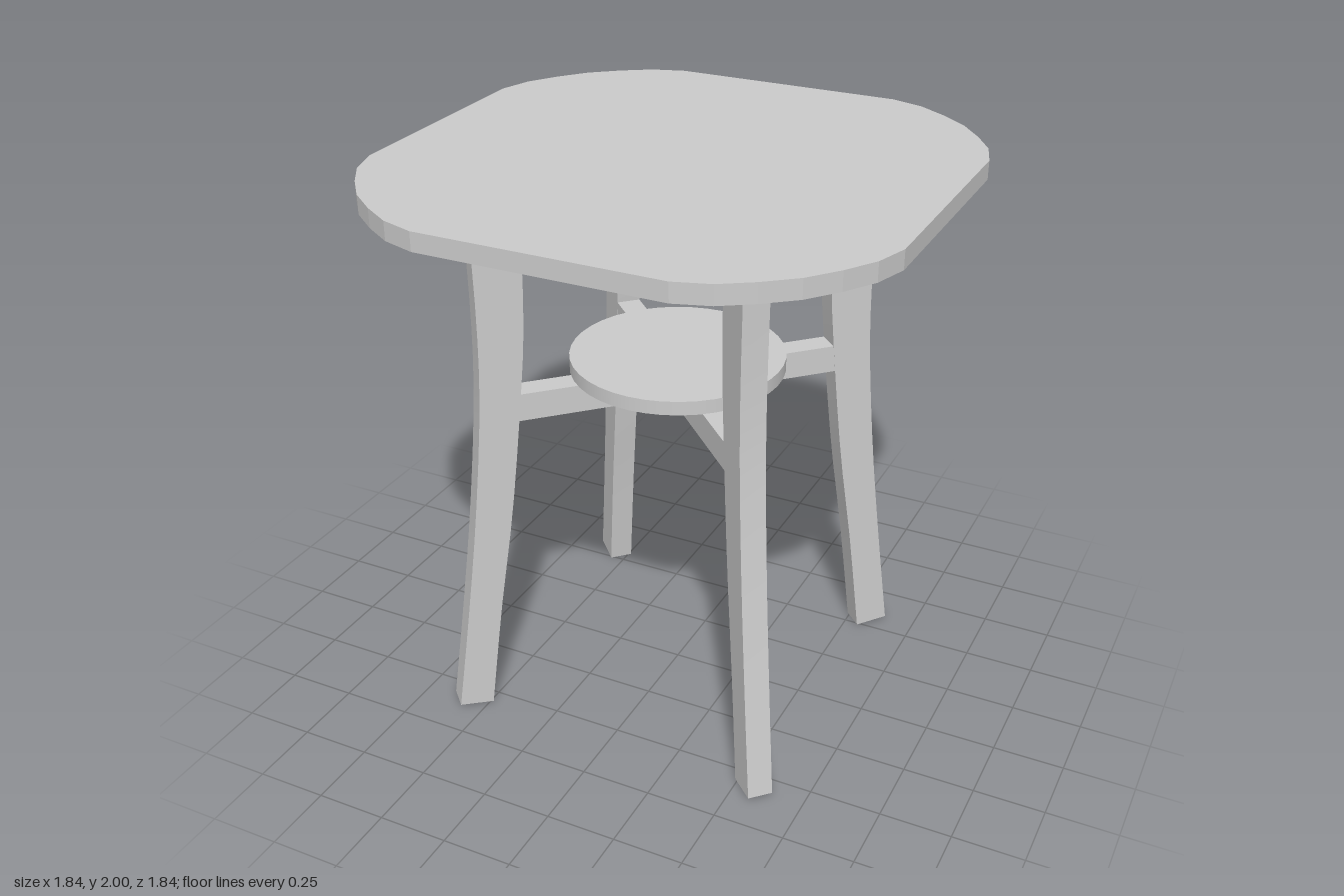
import * as THREE from 'three';
import { toCreasedNormals } from 'three/addons/utils/BufferGeometryUtils.js';

const material = new THREE.MeshStandardMaterial({ color: 0xcccccc });

// Extrudes an outline of [x, y] points, centred on its thickness.
function slab(points, thickness) {
  const shape = new THREE.Shape(points.map(([x, y]) => new THREE.Vector2(x, y)));
  const geometry = new THREE.ExtrudeGeometry(shape, { depth: thickness, bevelEnabled: false });
  return geometry.translate(0, 0, -thickness / 2);
}

function part(name, geometry, parent) {
  const mesh = new THREE.Mesh(geometry, material);
  mesh.name = name;
  parent.add(mesh);
  return mesh;
}

// Smooth curve through a few profile points.
function smooth(points, steps) {
  const curve = new THREE.SplineCurve(points.map(([x, y]) => new THREE.Vector2(x, y)));
  return curve.getPoints(steps).map((p) => [p.x, p.y]);
}

export function createModel() {
  const table = new THREE.Group();
  table.name = 'sideTable';

  // Table top: square with broad rounded corners
  const corner = [[0.92, 0.42], [0.883, 0.537], [0.817, 0.64], [0.738, 0.738],
    [0.64, 0.817], [0.537, 0.883], [0.42, 0.92]];
  const outline = [];
  for (let i = 0; i < 4; i++) {
    const c = Math.round(Math.cos(i * Math.PI / 2));
    const s = Math.round(Math.sin(i * Math.PI / 2));
    corner.forEach(([x, y]) => outline.push([x * c - y * s, x * s + y * c]));
  }
  part('tableTop', slab(outline, 0.065).rotateX(-Math.PI / 2).translate(0, 1.9675, 0), table);

  // Round lower shelf
  part('lowerShelf', new THREE.CylinderGeometry(0.377, 0.377, 0.05, 40).translate(0, 1.275, 0), table);

  // Legs curve outward towards the foot; profile is radius against height
  const outer = smooth([[0.859, 0.013], [0.805, 0.4], [0.755, 0.8], [0.718, 1.2], [0.708, 1.5], [0.713, 1.83]], 14);
  const inner = smooth([[0.546, 1.83], [0.552, 1.5], [0.578, 1.2], [0.624, 0.8], [0.685, 0.4], [0.737, 0]], 14);
  const legGeometry = toCreasedNormals(slab([...outer, ...inner], 0.088), 0.4);

  // Braces straddle the top beam
  const half = 0.057, reach = 0.066;
  const braceGeometry = slab([[-half, 1.84], [half, 1.84], [half + reach, 1.935], [-half - reach, 1.935]], 0.043)
    .rotateY(Math.PI / 2).translate(0.502, 0, 0);

  for (let i = 0; i < 4; i++) {
    const arm = new THREE.Group();
    arm.name = 'corner' + (i + 1);
    arm.rotation.y = Math.PI / 4 + i * Math.PI / 2;
    part('leg', legGeometry, arm);
    part('brace', braceGeometry, arm);
    table.add(arm);
  }

  // Crossed beams under the top and crossed stretchers under the shelf
  const beamGeometry = slab([[-0.735, 1.83], [0.735, 1.83], [0.933, 1.9], [0.933, 1.935],
    [-0.933, 1.935], [-0.933, 1.9]], half * 2);
  const stretcherGeometry = new THREE.BoxGeometry(1.2, 0.1, 0.086).translate(0, 1.2, 0);
  for (const angle of [Math.PI / 4, -Math.PI / 4]) {
    part('topBeam', beamGeometry, table).rotation.y = angle;
    part('stretcher', stretcherGeometry, table).rotation.y = angle;
  }

  return table;
}
